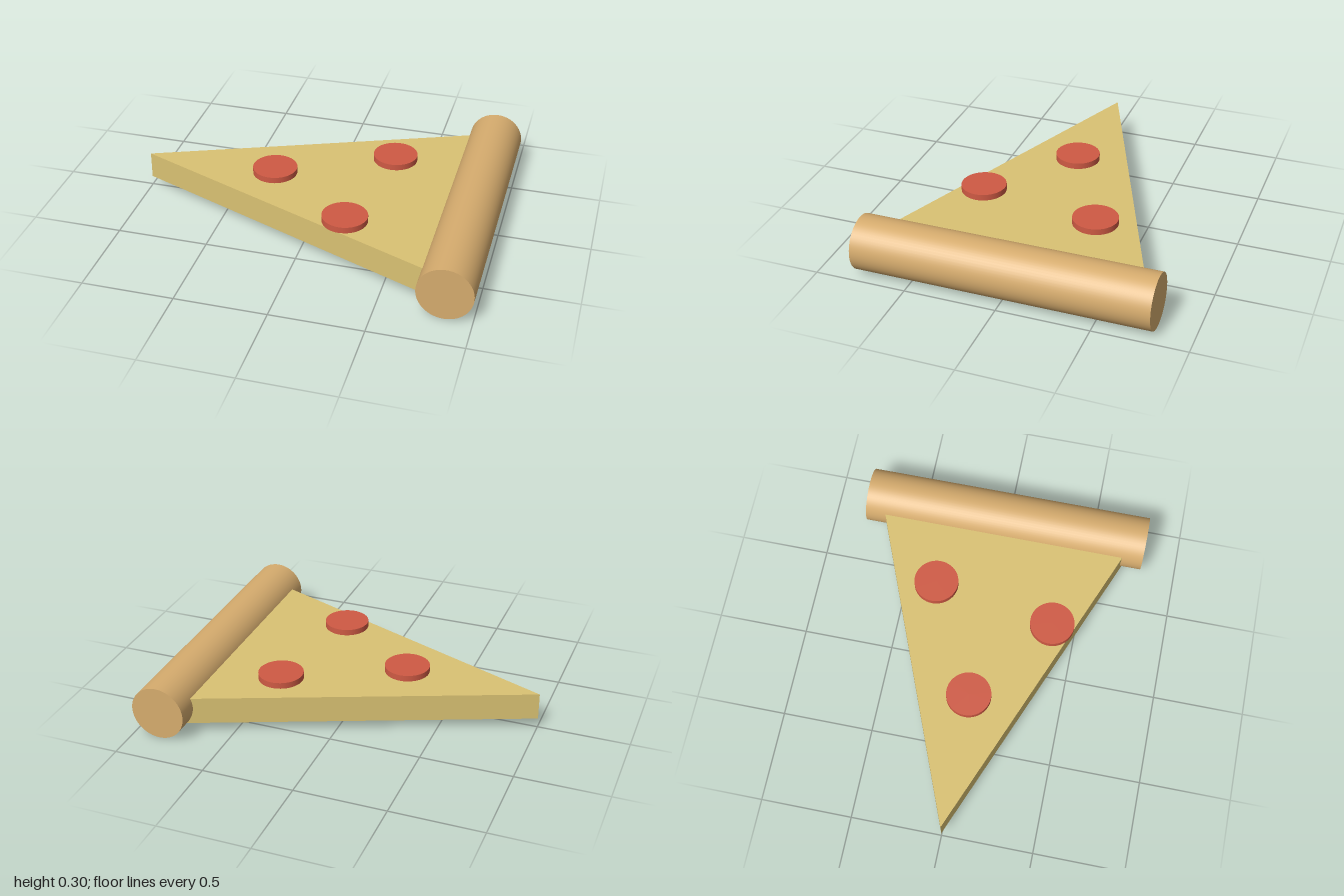
import * as THREE from 'three';

export function createModel() {
  const group = new THREE.Group();
  const material = (name, color) => {
    const m = new THREE.MeshStandardMaterial({ color });
    m.name = name;
    return m;
  };
  const cheese = material('cheese', 0xdac273);
  const crust = material('crust', 0xd6ac6e);
  const pepperoni = material('pepperoni', 0xcf5a44);

  const add = (name, geometry, mat, x, y, z) => {
    const mesh = new THREE.Mesh(geometry, mat);
    mesh.name = name;
    mesh.position.set(x, y, z);
    group.add(mesh);
    return mesh;
  };

  // Wedge-shaped slice, its wide end buried in the crust
  const wedge = new THREE.Shape([
    new THREE.Vector2(-1, 0),
    new THREE.Vector2(0.85, -0.74),
    new THREE.Vector2(0.85, 0.74),
  ]);
  const slice = new THREE.ExtrudeGeometry(wedge, { depth: 0.15, bevelEnabled: false });
  slice.rotateX(-Math.PI / 2);
  add('slice', slice, cheese, 0, 0.052, 0);

  // Rolled crust along the wide end
  const roll = new THREE.CylinderGeometry(0.148, 0.148, 1.6, 64);
  roll.rotateX(Math.PI / 2);
  add('crust', roll, crust, 0.852, 0.148, 0);

  // Pepperoni discs resting on the cheese
  const disc = new THREE.CylinderGeometry(0.123, 0.123, 0.035, 48);
  [[-0.26, 0], [0.355, -0.31], [0.234, 0.37]].forEach(([x, z], i) =>
    add(`pepperoni${i + 1}`, disc, pepperoni, x, 0.2185, z));

  return group;
}
